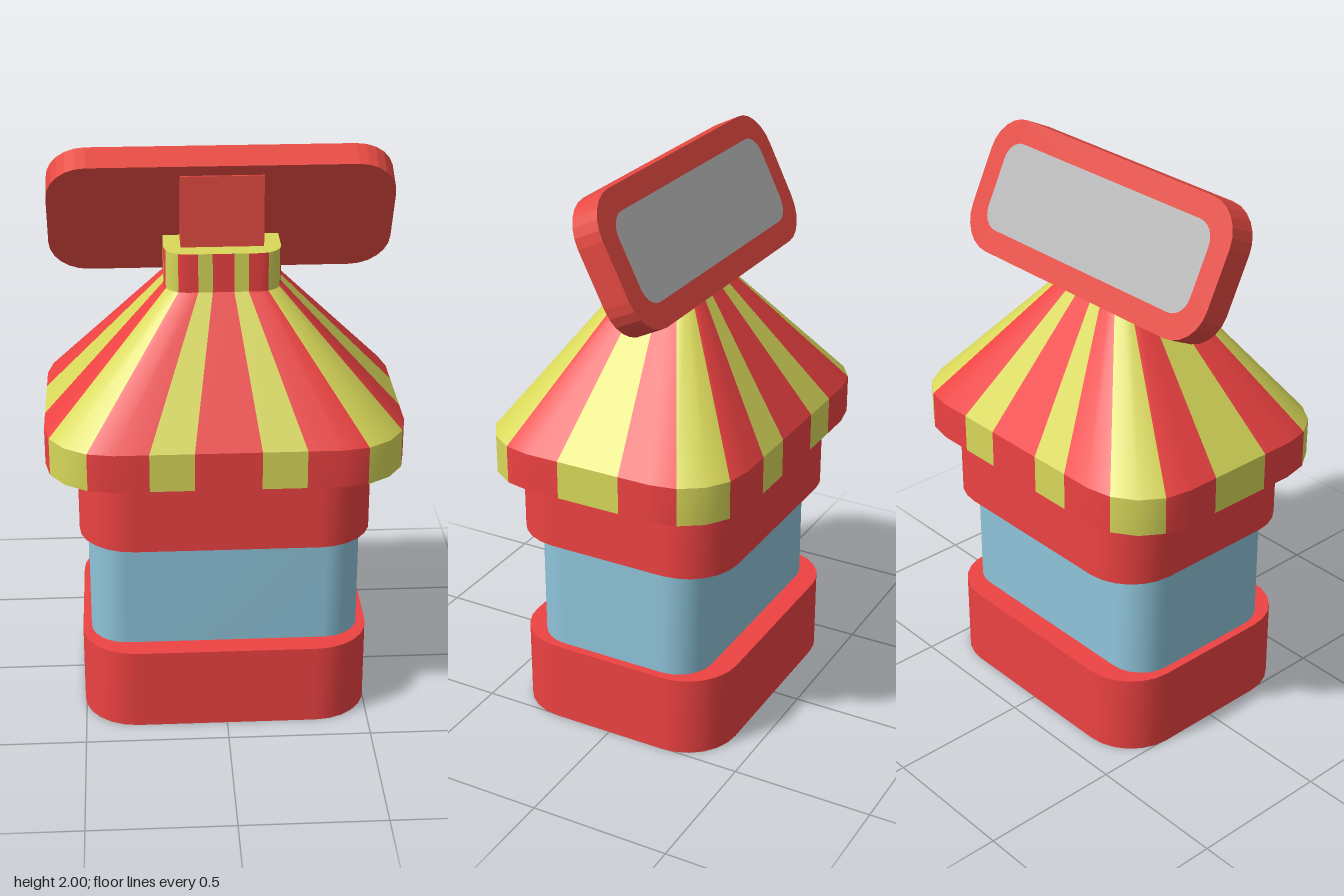
import * as THREE from 'three';

const material = (color) => new THREE.MeshStandardMaterial({ color, side: THREE.DoubleSide });
const red = material(0xee4242);
const yellow = material(0xd8d85a);
const blue = material(0x8ec4da);
const panelRed = material(0xe54a42);
const grey = material(0xb8b8b8);

// Outline of a rounded rectangle as [x, z] pairs, with extra points on the straight edges.
function roundedRing(hw, hd, r, steps, edgeX = [], edgeZ = []) {
  const quadrant = edgeZ.map((z) => [hw, z]);
  for (let i = 0; i <= steps; i++) {
    const a = (i / steps) * Math.PI / 2;
    quadrant.push([hw - r + r * Math.cos(a), hd - r + r * Math.sin(a)]);
  }
  edgeX.forEach((x) => quadrant.push([x, hd]));
  const back = [...quadrant].reverse();
  return [
    ...quadrant,
    ...back.map(([x, z]) => [-x, z]),
    ...quadrant.map(([x, z]) => [-x, -z]),
    ...back.map(([x, z]) => [x, -z]),
  ];
}

const scaled = (ring, s) => ring.map(([x, z]) => [x * s, z * s]);

// One strip between two outlines, smooth around and sharp at its rims.
// The pattern gives the colour of each segment in turn.
function band(group, name, ringA, yA, ringB, yB, materials, pattern = '0') {
  const n = ringA.length;
  const positions = [];
  ringA.forEach(([x, z]) => positions.push(x, yA, z));
  ringB.forEach(([x, z]) => positions.push(x, yB, z));
  const faces = materials.map(() => []);
  for (let i = 0; i < n; i++) {
    const j = (i + 1) % n;
    faces[+pattern[i % pattern.length]].push(i, n + i, j, j, n + i, n + j);
  }
  const whole = new THREE.BufferGeometry();
  whole.setAttribute('position', new THREE.Float32BufferAttribute(positions, 3));
  whole.setIndex(faces.flat());
  whole.computeVertexNormals();
  faces.forEach((index, k) => {
    if (!index.length) return;
    const part = new THREE.BufferGeometry();
    part.setAttribute('position', whole.getAttribute('position'));
    part.setAttribute('normal', whole.getAttribute('normal'));
    part.setIndex(index);
    const mesh = new THREE.Mesh(part, materials[k]);
    mesh.name = materials.length > 1 ? name + (k ? 'YellowStripes' : 'RedStripes') : name;
    group.add(mesh);
  });
}

function roundedShape(hw, hh, r) {
  const shape = new THREE.Shape();
  roundedRing(hw, hh, r, 6).forEach(([x, y], i) => (i ? shape.lineTo(x, y) : shape.moveTo(x, y)));
  shape.closePath();
  return shape;
}

function add(group, name, geometry, mat) {
  const mesh = new THREE.Mesh(geometry, mat);
  mesh.name = name;
  group.add(mesh);
  return mesh;
}

export function createModel() {
  const model = new THREE.Group();
  model.name = 'stripedKiosk';

  // Hollow body: base, window section and upper band
  const body = new THREE.Group();
  body.name = 'body';
  const wall = roundedRing(0.505, 0.405, 0.19, 6);
  const glass = roundedRing(0.475, 0.325, 0.13, 6);
  band(body, 'base', wall, 0, wall, 0.295, [red]);
  band(body, 'baseLedge', wall, 0.295, glass, 0.295, [red]);
  band(body, 'window', glass, 0.295, glass, 0.7, [blue]);
  band(body, 'upperBandUnderside', glass, 0.7, wall, 0.7, [red]);
  band(body, 'upperBand', wall, 0.7, wall, 0.965, [red]);
  model.add(body);

  // Striped roof: underside, brim, sloping canopy, neck and its cap
  const roof = new THREE.Group();
  roof.name = 'roof';
  const brim = roundedRing(0.613, 0.467, 0.235, 4, [0.262, 0.112], [0.115]);
  const neck = scaled(brim, 0.322);
  const stripes = '0011001010011001';
  const colours = [red, yellow];
  band(roof, 'roofUnderside', scaled(brim, 0.8), 0.96, brim, 0.96, colours, stripes);
  band(roof, 'brim', brim, 0.96, brim, 1.095, colours, stripes);
  band(roof, 'canopy', brim, 1.095, neck, 1.54, colours, stripes);
  band(roof, 'neck', neck, 1.54, neck, 1.675, colours, stripes);
  band(roof, 'neckCap', neck, 1.675, scaled(neck, 0), 1.675, [yellow]);
  model.add(roof);

  // Wedge bracket that carries the panel, extruded across x
  const profile = new THREE.Shape();
  [[-0.08, 1.675], [0.04, 1.675], [-0.064, 1.92], [-0.08, 1.92]]
    .forEach(([x, y], i) => (i ? profile.lineTo(x, y) : profile.moveTo(x, y)));
  const wedge = new THREE.ExtrudeGeometry(profile, { depth: 0.28, bevelEnabled: false });
  wedge.translate(0, 0, -0.14).rotateY(Math.PI / 2);
  add(model, 'bracket', wedge, panelRed);

  // Tilted panel with a screen on its rear face
  const panel = new THREE.Group();
  panel.name = 'panel';
  const slab = new THREE.ExtrudeGeometry(roundedShape(0.585, 0.237, 0.135), { depth: 0.1, bevelEnabled: false });
  add(panel, 'panelFrame', slab.translate(0, 0, -0.05), panelRed);
  const screen = new THREE.ShapeGeometry(roundedShape(0.503, 0.156, 0.07)).rotateY(Math.PI);
  add(panel, 'screen', screen, grey).position.z = -0.052;
  panel.position.set(0, 1.767, -0.06);
  panel.rotation.x = 0.46;
  model.add(panel);

  return model;
}
